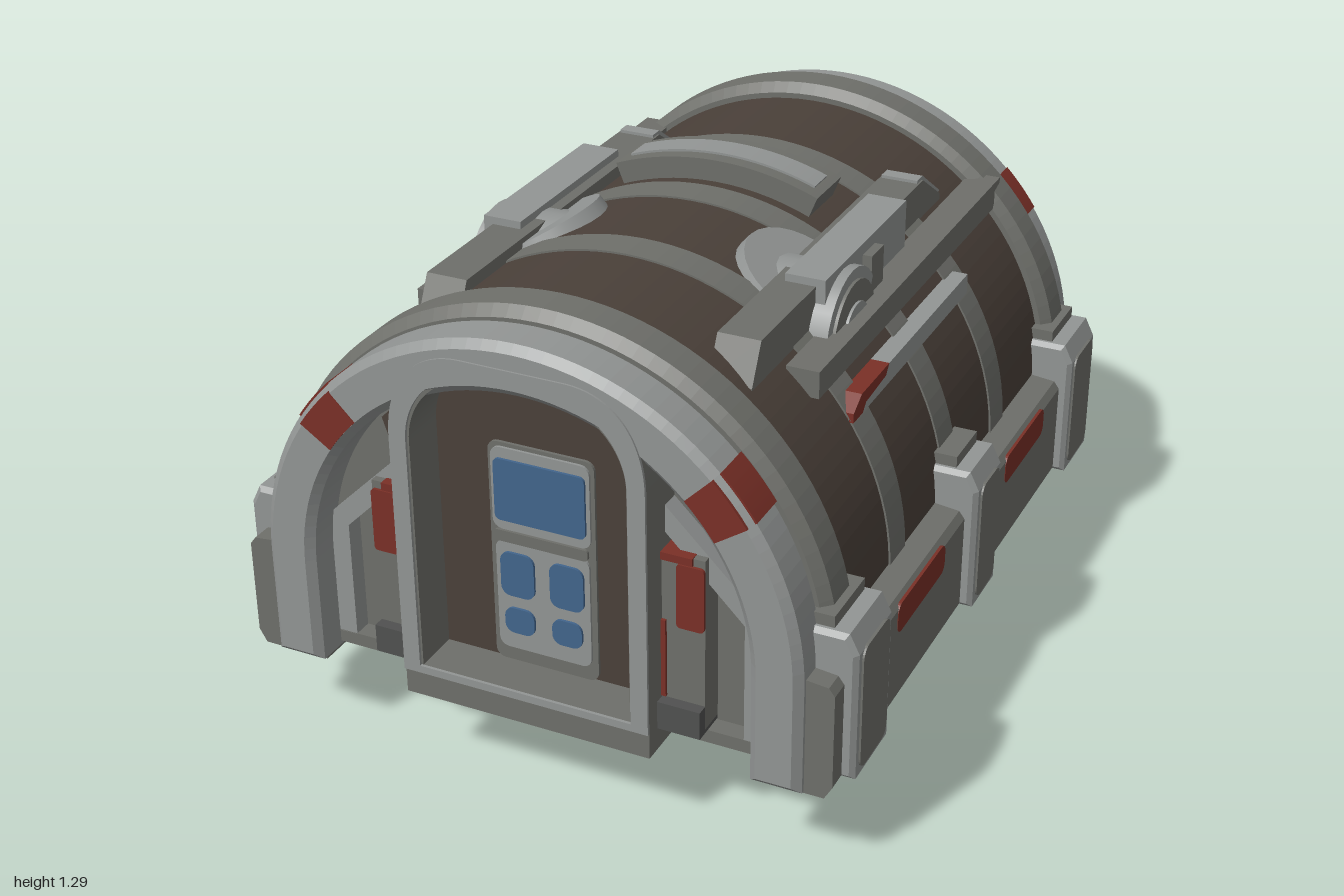
import * as THREE from 'three';
import { ConvexGeometry } from 'three/addons/geometries/ConvexGeometry.js';

const mat = (name, color) => Object.assign(new THREE.MeshStandardMaterial({ color }), { name });
const light = mat('light grey', 0x929594), mid = mat('mid grey', 0x6e6f6a), dark = mat('dark grey', 0x505150);
const brown = mat('dark brown', 0x4a4039), red = mat('rust red', 0x7a3027), blue = mat('window blue', 0x42658c);
const CY = 0.53; // height of the barrel axis

export function createModel() {
  const model = new THREE.Group();
  model.name = 'barrelShelter';

  const add = (name, geo, m) => {
    const mesh = new THREE.Mesh(geo, m);
    mesh.name = name;
    model.add(mesh);
    return mesh;
  };
  // box given by its limits
  const box = (name, m, x0, x1, y0, y1, z0, z1) =>
    add(name, new THREE.BoxGeometry(x1 - x0, y1 - y0, z1 - z0)
      .translate((x0 + x1) / 2, (y0 + y1) / 2, (z0 + z1) / 2), m);
  const extrude = (name, m, shape, z0, z1, bevel = 0) =>
    add(name, new THREE.ExtrudeGeometry(shape, {
      depth: z1 - z0 - 2 * bevel, curveSegments: 28, bevelEnabled: bevel > 0,
      bevelThickness: bevel, bevelSize: bevel, bevelOffset: -bevel, bevelSegments: 1,
    }).translate(0, 0, z0 + bevel), m);
  // half round arch with straight legs down to y0
  const arch = (ro, ri, y0) => {
    const s = new THREE.Shape();
    s.moveTo(ro, y0);
    s.lineTo(ro, CY);
    s.absarc(0, CY, ro, 0, Math.PI, false);
    s.lineTo(-ro, y0);
    if (ri) {
      s.lineTo(-ri, y0);
      s.lineTo(-ri, CY);
      s.absarc(0, CY, ri, Math.PI, 0, true);
      s.lineTo(ri, y0);
    }
    return s;
  };
  const arcBand = (ro, ri, a0, a1) => {
    const r = Math.PI / 180, s = new THREE.Shape();
    s.absarc(0, CY, ro, a0 * r, a1 * r, false);
    s.absarc(0, CY, ri, a1 * r, a0 * r, true);
    return s;
  };
  const poly = pts => new THREE.Shape(pts.map(p => new THREE.Vector2(p[0], p[1])));
  // (z, y) profile extruded along x
  const sideProfile = (name, m, pts, x0, x1) =>
    add(name, new THREE.ExtrudeGeometry(poly(pts.map(([z, y]) => [-z, y])), { depth: x1 - x0, bevelEnabled: false })
      .rotateY(Math.PI / 2).translate(x0, 0, 0), m);
  const roundRect = (w, h, r) => {
    const s = new THREE.Shape(), x = w / 2, y = h / 2;
    s.absarc(x - r, y - r, r, 0, Math.PI / 2);
    s.absarc(-x + r, y - r, r, Math.PI / 2, Math.PI);
    s.absarc(-x + r, -y + r, r, Math.PI, Math.PI * 1.5);
    s.absarc(x - r, -y + r, r, Math.PI * 1.5, Math.PI * 2);
    return s;
  };
  // thin rounded plate facing along +z, or sideways when side is set
  const plate = (name, m, w, h, x, y, z, side = 0, r = 0.025) => {
    const g = new THREE.ExtrudeGeometry(roundRect(w, h, r), { depth: 0.008, bevelEnabled: false, curveSegments: 3 });
    if (side) g.rotateY(side * Math.PI / 2);
    return add(name, g.translate(x, y, z), m);
  };

  // barrel shell, ribs and end walls
  extrude('barrelShell', brown, arch(0.7, 0.6, 0.26), -0.88, 0.88);
  for (const z of [-0.36, 0.01, 0.38]) extrude('barrelRib', mid, arch(0.705, 0.69, 0.4), z - 0.05, z + 0.05);
  extrude('frontWall', mid, arch(0.62, 0, 0.26), 0.8, 0.85);
  extrude('alcoveWall', brown, arch(0.62, 0, 0.26), -0.55, -0.5);

  // end hoops with painted bands
  for (const s of [1, -1]) {
    const span = (a, b) => (s > 0 ? [a, b] : [-b, -a]);
    const end = s > 0 ? 0.995 : 0.975;
    extrude('endHoop', light, arch(0.71, 0.58, 0.24), ...span(0.86, end), 0.02);
    extrude('collarHoop', mid, arch(0.74, 0.64, 0.26), ...span(0.73, 0.87), 0.025);
    for (const a of [34, 135]) {
      extrude('hoopBand', red, arcBand(0.713, 0.6, a, a + 11), ...span(0.868, end - 0.018));
      extrude('hoopBandFace', red, arcBand(0.695, 0.6, a, a + 11), ...span(end - 0.02, end + 0.003));
    }
  }

  // floor
  box('floor', mid, -0.6, 0.6, 0.25, 0.285, -0.92, 0.9);

  // rounded doorway outline
  const doorway = (C, w, y0, yt) => {
    const s = new C();
    s.moveTo(-w, y0);
    s.lineTo(w, y0);
    s.lineTo(w, 0.94);
    s.bezierCurveTo(w, yt - 0.1, w - 0.07, yt, w - 0.2, yt);
    s.lineTo(-w + 0.2, yt);
    s.bezierCurveTo(-w + 0.07, yt, -w, yt - 0.1, -w, 0.94);
    s.closePath();
    return s;
  };
  const frame = doorway(THREE.Shape, 0.33, 0.23, 1.18);
  frame.holes.push(doorway(THREE.Path, 0.28, 0.32, 1.13));
  extrude('doorFrame', mid, frame, 0.82, 0.992);
  const trim = doorway(THREE.Shape, 0.33, 0.3, 1.18);
  trim.holes.push(doorway(THREE.Path, 0.285, 0.32, 1.14));
  extrude('doorTrim', light, trim, 0.992, 1);
  extrude('doorBack', brown, doorway(THREE.Shape, 0.29, 0.3, 1.14), 0.85, 0.87);

  // door leaf with panes
  plate('doorLeaf', mid, 0.28, 0.6, 0, 0.62, 0.87);
  plate('doorLeafEdge', light, 0.26, 0.22, 0, 0.8, 0.877);
  plate('doorLeafEdge', light, 0.25, 0.3, 0, 0.51, 0.877);
  plate('topPane', blue, 0.24, 0.165, 0, 0.8, 0.884, 0, 0.015);
  plate('doorRail', mid, 0.25, 0.03, 0, 0.675, 0.884, 0, 0.01);
  for (const s of [1, -1]) {
    plate('middlePane', blue, 0.09, 0.12, s * 0.066, 0.572, 0.884);
    plate('lowerPane', blue, 0.08, 0.07, s * 0.064, 0.443, 0.884);
  }

  for (const s of [1, -1]) {
    const X = (a, b) => (s > 0 ? [a, b] : [-b, -a]);
    const mx = pts => poly(pts.map(([x, y]) => [s * x, y]));

    // side pieces beside the door
    box('doorSidePost', mid, ...X(0.32, 0.44), 0.3, 0.76, 0.84, 0.92);
    box('doorSideFoot', dark, ...X(0.32, 0.44), 0.29, 0.365, 0.84, 0.95);
    plate('doorSidePanel', red, 0.07, 0.17, s * 0.405, 0.655, 0.92, 0, 0.01);
    box('doorSideTopStripe', red, ...X(0.33, 0.41), 0.742, 0.762, 0.84, 0.927);
    box('doorSideStripe', red, ...X(0.325, 0.342), 0.37, 0.58, 0.84, 0.928);
    extrude('doorBrace', light, mx([[0.33, 0.87], [0.33, 0.8], [0.53, 0.6], [0.53, 0.28], [0.585, 0.28], [0.585, 0.62]]), 0.84, 0.9);
    extrude('wallShadowPanel', brown, mx([[0.34, 0.88], [0.42, 0.84], [0.44, 0.9], [0.34, 1.0]]), 0.85, 0.858);
    box('alcoveSideLining', mid, ...X(0.5, 0.61), 0.27, 0.85, -0.87, -0.75);

    // lower skirt with painted panels
    extrude('skirt', mid, mx([[0.58, 0.235], [0.76, 0.235], [0.78, 0.27], [0.78, 0.52], [0.765, 0.54], [0.58, 0.56]]), -0.95, 0.965);
    for (const z of [0.41, -0.38]) plate('skirtPanel', red, 0.325, 0.08, s * 0.7735, 0.49, z, s, 0.025);

    // skirt pillars
    for (const z of [0.8, 0.01, -0.79]) {
      const h = z > 0.5 || z < -0.5 ? 0.11 : 0.095;
      extrude('pillar', light, mx([[0.62, 0.26], [0.81, 0.26], [0.81, 0.6], [0.785, 0.65], [0.62, 0.65]]), z - h, z + h, 0.012);
      box('pillarCap', mid, ...X(0.64, 0.745), 0.64, 0.68, z - h + 0.02, z + h - 0.02);
      plate('pillarPanel', mid, h * 2 - 0.055, 0.33, s * 0.807, 0.44, z, s, 0.03);
    }

    // roof beams
    sideProfile('upperBeam', mid, [[0.67, 1.05], [-0.57, 1.05], [-0.57, 1.09], [-0.43, 1.18], [0.62, 1.18], [0.67, 1.08]], ...X(0.33, 0.44));
    sideProfile('upperBeamTip', light, [[-0.4, 1.1], [-0.5, 1.07], [-0.58, 1.095], [-0.44, 1.188], [-0.4, 1.188]], ...X(0.335, 0.435));
    box('beamBlock', light, ...X(0.36, 0.465), 1.02, 1.2, -0.24, 0.3);
    box('blockClamp', mid, ...X(0.36, 0.49), 1.0, 1.17, -0.02, 0.06);
    sideProfile('lowerBeam', mid, [[0.51, 1.0], [-0.74, 1.0], [-0.74, 1.05], [-0.78, 1.06], [-0.78, 1.075], [0.51, 1.07]], ...X(0.455, 0.54));

    // side rail with painted tip
    sideProfile('sideRail', light, [[0.37, 0.91], [-0.37, 0.91], [-0.37, 0.965], [0.2, 0.965], [0.22, 0.94], [0.35, 0.93]], ...X(0.52, 0.597));
    sideProfile('sideRailTip', red, [[0.43, 0.91], [0.37, 0.91], [0.35, 0.93], [0.22, 0.94], [0.2, 0.965], [0.38, 0.965], [0.43, 0.935]], ...X(0.52, 0.597));

    // round roof drum over a disc lying on the shell
    const drum = (name, m, r, a, b) => add(name, new THREE.CylinderGeometry(r, r, b - a, 28)
      .rotateZ(Math.PI / 2).translate(s * (a + b) / 2, 1.02, 0.185), m);
    drum('roofDrum', light, 0.165, 0.15, 0.49);
    drum('drumFace', mid, 0.135, 0.49, 0.498);
    drum('drumHub', light, 0.08, 0.49, 0.505);
    add('drumDisc', new THREE.CylinderGeometry(0.165, 0.175, 0.05, 28).translate(0, 0.69, 0)
      .rotateZ(-s * 0.53).translate(0, CY, 0.185), light);

    // triangular fins under the floor
    add('underFin', new ConvexGeometry([[0.3, 0.26, 0.52], [0.3, 0.26, 0.04], [0.47, 0.26, 0.5], [0.47, 0.26, 0.06],
      [0.3, 0.145, 0.3], [0.39, 0.145, 0.3], [0.3, 0.145, 0.25], [0.39, 0.145, 0.25]]
      .map(([x, y, z]) => new THREE.Vector3(s * x, y, z))), light);
  }

  // arched roof vent
  extrude('roofVent', mid, arcBand(0.758, 0.69, 68, 112), -0.24, -0.08);
  extrude('roofVentStrip', light, arcBand(0.764, 0.69, 70, 110), -0.2, -0.12);

  // twelve sided alcove column, faceted
  const CZ = -0.648;
  const lathe = (name, m, pts) => {
    const g = new THREE.LatheGeometry(pts.map(p => new THREE.Vector2(p[0], p[1])), 12, Math.PI / 12).toNonIndexed();
    g.computeVertexNormals();
    return add(name, g.translate(0, 0, CZ), m);
  };
  lathe('columnBase', light, [[0, 0.22], [0.28, 0.22], [0.36, 0.3], [0.36, 0.45], [0.29, 0.52], [0, 0.52]]);
  lathe('columnWaist', brown, [[0.28, 0.51], [0.28, 0.64]]);
  lathe('columnTop', light, [[0, 0.63], [0.29, 0.63], [0.36, 0.69], [0.36, 0.85], [0.29, 0.91], [0, 0.91]]);
  lathe('columnNeck', mid, [[0.27, 0.9], [0.27, 0.98], [0.31, 1.02], [0.31, 1.08]]);
  for (let i = 0; i < 12; i++) {
    const post = new THREE.BoxGeometry(0.02, 0.14, 0.03).translate(0, 0.57, 0.275).rotateY((i + 0.5) * Math.PI / 6);
    add('columnPost', post.translate(0, 0, CZ), light);
  }
  for (const i of [5, 7]) {
    const pane = new THREE.BoxGeometry(0.135, 0.115, 0.009).translate(0, 0.575, 0.274).rotateY(i * Math.PI / 6);
    add('columnPane', pane.translate(0, 0, CZ), blue);
  }

  // chamfered underside hub and hatch
  const octagon = (hx, hz, c, y, cz) => [[hx, hz - c], [hx - c, hz], [-hx + c, hz], [-hx, hz - c],
    [-hx, -hz + c], [-hx + c, -hz], [hx - c, -hz], [hx, -hz + c]].map(([x, z]) => new THREE.Vector3(x, y, z + cz));
  add('underHub', new ConvexGeometry([...octagon(0.25, 0.43, 0.12, 0.05, -0.37), ...octagon(0.25, 0.43, 0.12, 0.17, -0.37)]), mid);
  add('underHubCollar', new ConvexGeometry([...octagon(0.25, 0.43, 0.12, 0.17, -0.37), ...octagon(0.39, 0.54, 0.17, 0.255, -0.39)]), mid);
  add('underHatch', new ConvexGeometry([...octagon(0.16, 0.2, 0.06, 0.046, -0.42), ...octagon(0.16, 0.2, 0.06, 0.051, -0.42)]), red);

  // bow shaped keel under a shallow hull
  const both = list => list.flatMap(([x, y, z]) => [new THREE.Vector3(x, y, z), new THREE.Vector3(-x, y, z)]);
  add('hull', new ConvexGeometry(both([[0.33, 0.255, 0.86], [0.33, 0.255, 0], [0.24, 0.175, 0.66], [0.24, 0.175, 0]])), mid);
  add('keel', new ConvexGeometry(both([[0.03, 0.18, 0.685], [0.062, 0, 0.685], [0.062, 0.03, 0.685], [0.062, 0, 0.06],
    [0.05, 0.05, -0.06], [0.32, 0.22, 0.4], [0.32, 0.22, 0]])), mid);
  box('underBeam', mid, -0.39, 0.39, 0.145, 0.25, 0.25, 0.32);

  return model;
}
